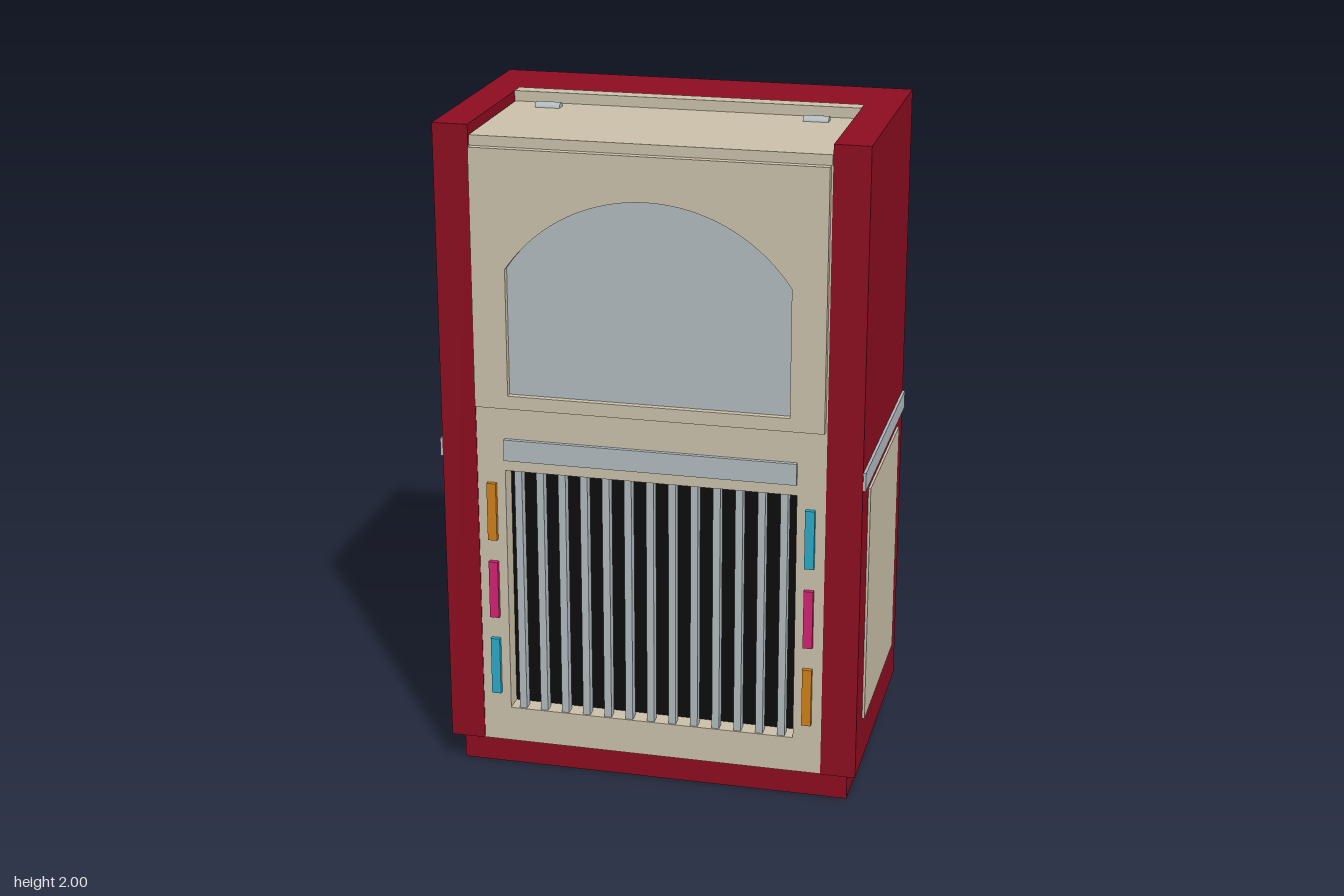
import * as THREE from 'three';

const mat = (name, color) => {
  const m = new THREE.MeshStandardMaterial({ color });
  m.name = name;
  return m;
};

export function createModel() {
  const red = mat('cabinet red', 0x8c0d20);
  const cream = mat('cream', 0xcac0aa);
  const silver = mat('silver', 0xb1babe);
  const black = mat('black', 0x0c0c0c);
  const orange = mat('orange', 0xcf8019);
  const pink = mat('pink', 0xd0226f);
  const cyan = mat('cyan', 0x2ba9c6);

  const model = new THREE.Group();
  model.name = 'jukebox';

  const add = (name, geometry, material) => {
    const mesh = new THREE.Mesh(geometry, material);
    mesh.name = name;
    model.add(mesh);
    return mesh;
  };
  // Box given by its limits on each axis
  const box = (name, material, [x0, x1], [y0, y1], [z0, z1]) => {
    const mesh = add(name, new THREE.BoxGeometry(x1 - x0, y1 - y0, z1 - z0), material);
    mesh.position.set((x0 + x1) / 2, (y0 + y1) / 2, (z0 + z1) / 2);
    return mesh;
  };
  const span = (s, a, b) => (s > 0 ? [a, b] : [-b, -a]);
  const rect = (Type, x, y0, y1) => new Type([
    new THREE.Vector2(-x, y0), new THREE.Vector2(x, y0),
    new THREE.Vector2(x, y1), new THREE.Vector2(-x, y1),
  ]);
  const extrude = (shape, depth) =>
    new THREE.ExtrudeGeometry(shape, { depth, bevelEnabled: false, curveSegments: 32 });

  // Cabinet shell
  box('plinth', red, [-0.595, 0.595], [0, 0.09], [-0.35, 0.33]);
  box('cabinetBack', red, [-0.625, 0.625], [0.09, 2], [-0.385, -0.14]);
  box('cabinetCore', red, [-0.52, 0.52], [0.09, 1.94], [-0.14, 0.3]);

  // Side walls with their trim, inset panels, lid hinges and lamps
  const lampColors = { '-1': [cyan, pink, orange], '1': [orange, pink, cyan] };
  for (const s of [-1, 1]) {
    box('sideWall', red, span(s, 0.52, 0.625), [0.09, 2], [-0.14, 0.365]);
    box('sidePanel', cream, span(s, 0.62, 0.632), [0.235, 0.97], [-0.28, 0.26]);
    box('sideTrim', silver, span(s, 0.62, 0.633), [1.0, 1.055], [-0.377, 0.362]);

    const hinge = add('lidHinge', new THREE.CylinderGeometry(0.018, 0.018, 0.075, 20), silver);
    hinge.rotation.z = Math.PI / 2;
    hinge.position.set(s * 0.4, 1.967, -0.037);

    lampColors[s].forEach((color, i) => {
      const y = 0.25 + i * 0.25;
      box('lamp', color, span(s, 0.462, 0.49), [y, y + 0.18], [0.355, 0.376]);
    });
  }

  // Lid and the strip behind it
  box('lidStrip', cream, [-0.52, 0.52], [1.94, 2.001], [-0.14, -0.09]);
  box('lid', cream, [-0.518, 0.518], [1.94, 1.97], [-0.09, 0.362]);

  // Front panel with the speaker opening
  const front = rect(THREE.Shape, 0.52, 0.09, 1.94);
  front.holes.push(rect(THREE.Path, 0.435, 0.2, 0.97));
  add('frontPanel', extrude(front, 0.062), cream).position.z = 0.3;
  box('speakerCloth', black, [-0.435, 0.435], [0.2, 0.97], [0.297, 0.305]);

  // Speaker grille bars
  for (let i = -6; i <= 6; i++) {
    const x = i * 0.0663;
    box('grilleBar', silver, [x - 0.011, x + 0.011], [0.2, 0.97], [0.325, 0.357]);
  }
  box('frontTrim', silver, [-0.435, 0.435], [1.005, 1.07], [0.355, 0.375]);

  // Door with an arched window
  const door = rect(THREE.Shape, 0.515, 1.17, 1.94);
  const arch = new THREE.Path();
  const angle = Math.atan2(1.59 - 1.309, 0.415);
  arch.moveTo(-0.415, 1.21);
  arch.lineTo(0.415, 1.21);
  arch.lineTo(0.415, 1.59);
  arch.absarc(0, 1.309, 0.501, angle, Math.PI - angle, false);
  arch.closePath();
  door.holes.push(arch);
  add('door', extrude(door, 0.025), cream).position.z = 0.36;
  box('windowPane', silver, [-0.43, 0.43], [1.2, 1.82], [0.358, 0.365]);

  return model;
}
